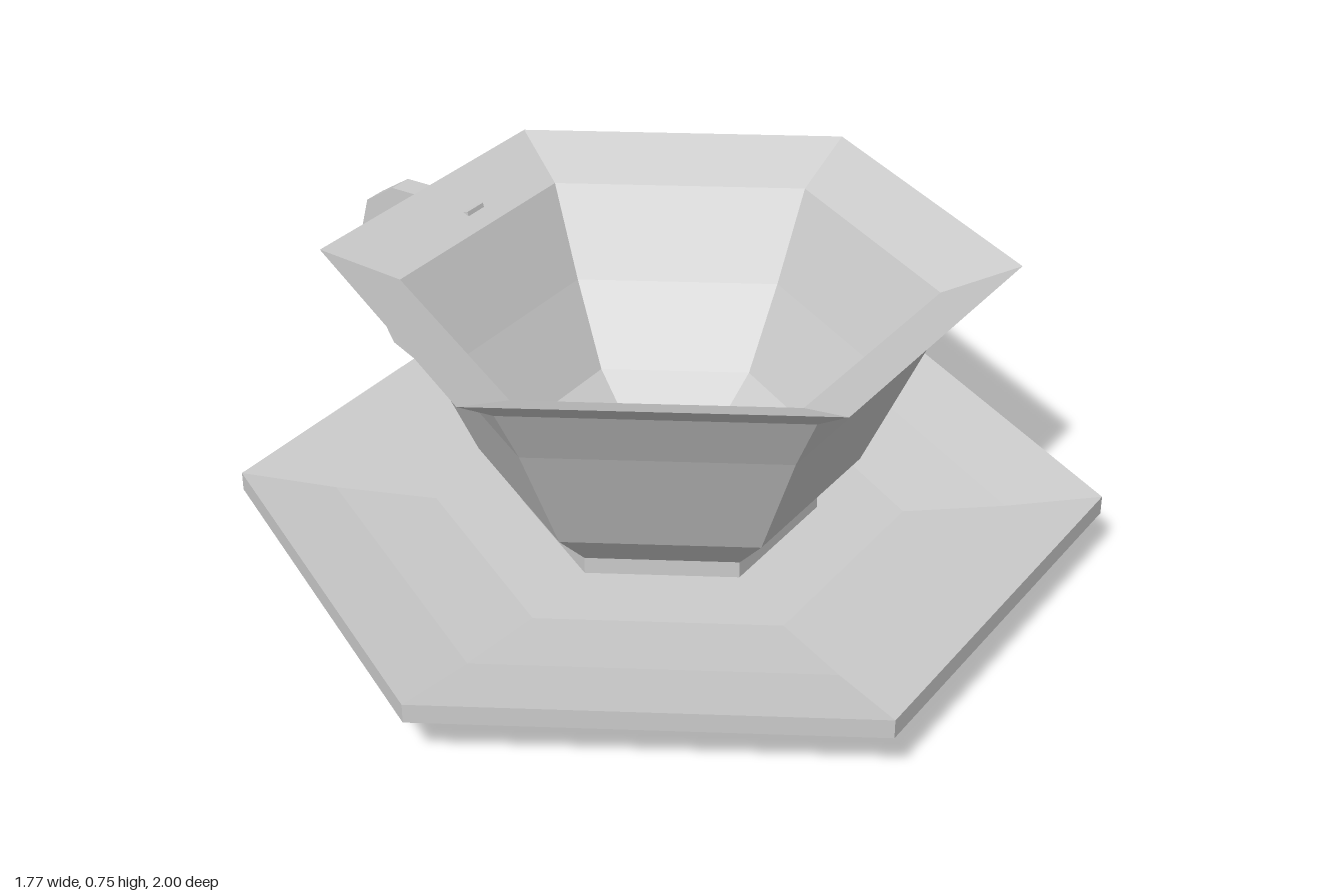
import * as THREE from 'three';

const material = new THREE.MeshStandardMaterial({ color: 0xcccccc, flatShading: true });
const CENTER_X = 0.017;

// Six-sided turned body; profile runs from the bottom centre, outward and back to the axis
function hexBody(name, profile) {
  const points = profile.map(([r, y]) => new THREE.Vector2(r, y));
  const mesh = new THREE.Mesh(new THREE.LatheGeometry(points, 6), material);
  mesh.name = name;
  mesh.position.x = CENTER_X;
  return mesh;
}

// Square bar swept along a path in the xy plane, with mitred bends and closed ends
function sweptBar(path, halfThick, halfDepth) {
  const pts = path.map(([x, y]) => new THREE.Vector2(x, y));
  const last = pts.length - 1;
  const position = [];
  const index = [];
  pts.forEach((p, i) => {
    const t = pts[Math.min(i + 1, last)].clone().sub(pts[Math.max(i - 1, 0)]).normalize();
    const nx = -t.y * halfThick;
    const ny = t.x * halfThick;
    for (const [a, b] of [[1, 1], [-1, 1], [-1, -1], [1, -1]]) {
      position.push(p.x + a * nx, p.y + a * ny, b * halfDepth);
    }
  });
  for (let i = 0; i < last; i++) {
    for (let k = 0; k < 4; k++) {
      const a = i * 4 + k;
      const b = i * 4 + (k + 1) % 4;
      index.push(a, b, a + 4, b, b + 4, a + 4);
    }
  }
  const e = last * 4;
  index.push(0, 2, 1, 0, 3, 2, e, e + 1, e + 2, e, e + 2, e + 3);
  const geometry = new THREE.BufferGeometry();
  geometry.setAttribute('position', new THREE.Float32BufferAttribute(position, 3));
  geometry.setIndex(index);
  const flat = geometry.toNonIndexed();
  flat.computeVertexNormals();
  return flat;
}

export function createModel() {
  const model = new THREE.Group();
  model.name = 'cupAndSaucer';

  // Shallow dished saucer on a flat foot
  model.add(hexBody('saucer', [
    [0, 0], [0.545, 0], [0.545, 0.05], [0.78, 0.078], [1, 0.115],
    [1, 0.16], [0.78, 0.128], [0.545, 0.105], [0, 0.105],
  ]));

  // Flared cup: foot, outer wall, sharp rim, inner wall, floor
  model.add(hexBody('cup', [
    [0, 0.11], [0.345, 0.11], [0.345, 0.15], [0.44, 0.245], [0.575, 0.53],
    [0.655, 0.67], [0.775, 0.75], [0.6, 0.68], [0.48, 0.475],
    [0.355, 0.29], [0.25, 0.23], [0, 0.23],
  ]));

  // Ear-shaped handle on the right side
  const handle = new THREE.Mesh(sweptBar([
    [-0.54, 0.685], [-0.63, 0.663], [-0.69, 0.69], [-0.76, 0.69], [-0.825, 0.65],
    [-0.86, 0.52], [-0.838, 0.425], [-0.775, 0.31], [-0.61, 0.237],
    [-0.475, 0.24], [-0.38, 0.29],
  ], 0.025, 0.03), material);
  handle.name = 'handle';
  handle.position.z = -0.04;
  model.add(handle);

  return model;
}
